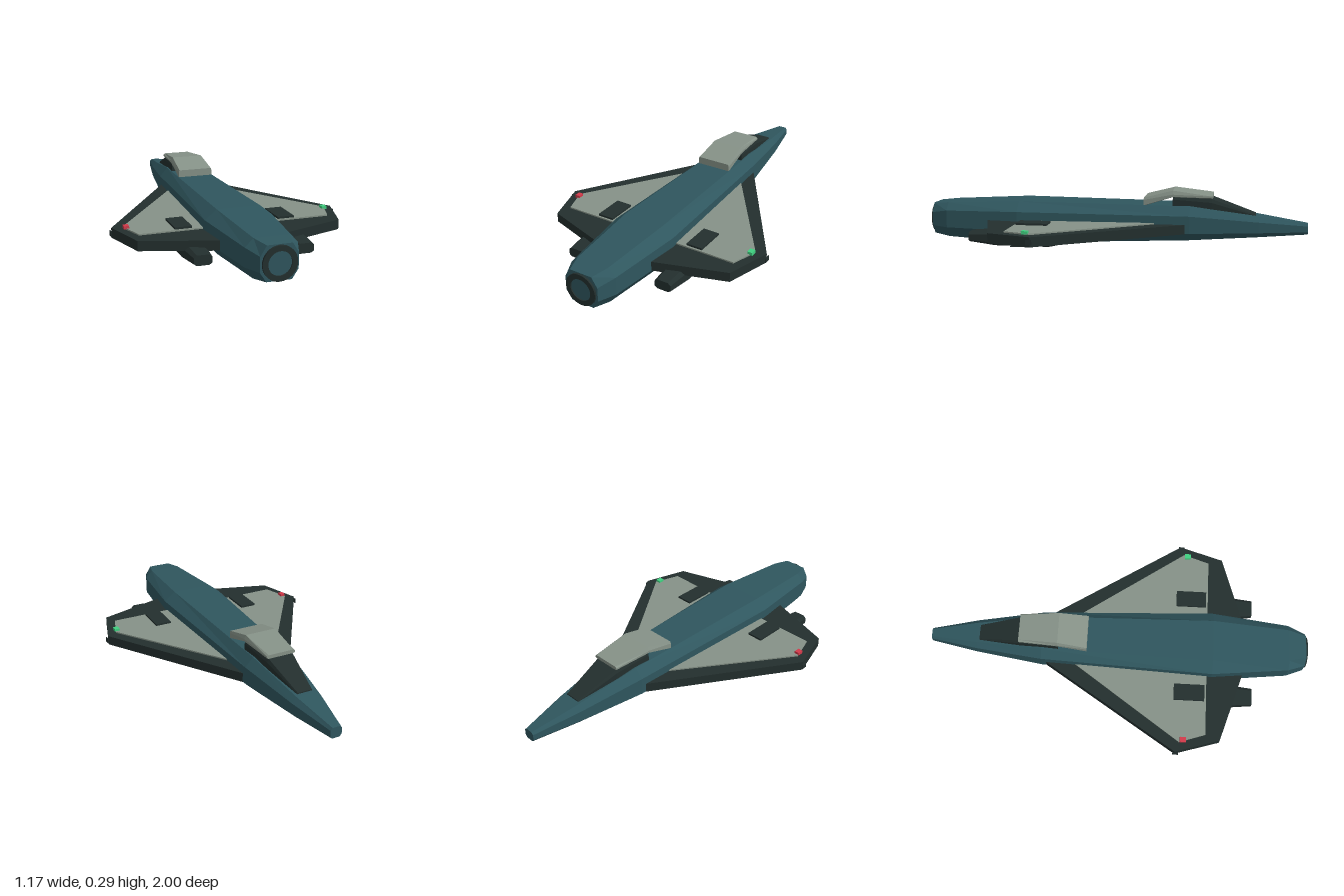
import * as THREE from 'three';

const mat = (name, color) => Object.assign(new THREE.MeshStandardMaterial({ color }), { name });

// Eight-sided section: half-widths at the sides and at top/bottom, then heights from bottom to top
function octagon(z, w, wt, y0, y1, y2, y3, cx = 0) {
  return [[w, y1], [w, y2], [wt, y3], [-wt, y3], [-w, y2], [-w, y1], [-wt, y0], [wt, y0]]
    .map(([x, y]) => new THREE.Vector3(cx + x, y, z));
}

// Faceted, capped hull through sections ordered from nose (-z) to tail (+z)
function loft(sections) {
  const tris = [];
  const n = sections[0].length;
  for (let s = 0; s < sections.length - 1; s++) {
    const a = sections[s], b = sections[s + 1];
    for (let i = 0; i < n; i++) {
      const j = (i + 1) % n;
      tris.push(a[i], a[j], b[j], a[i], b[j], b[i]);
    }
  }
  const first = sections[0], last = sections[sections.length - 1];
  for (let i = 1; i < n - 1; i++) {
    tris.push(first[0], first[i + 1], first[i], last[0], last[i], last[i + 1]);
  }
  const g = new THREE.BufferGeometry().setFromPoints(tris);
  g.computeVertexNormals();
  return g;
}

// Flat slab from an x/z outline
function slab(outline, side, y0, y1) {
  const shape = new THREE.Shape(outline.map(([x, z]) => new THREE.Vector2(side * x, -z)));
  return new THREE.ExtrudeGeometry(shape, { depth: y1 - y0, bevelEnabled: false })
    .rotateX(-Math.PI / 2).translate(0, y0, 0);
}

export function createModel() {
  const teal = mat('hull teal', 0x2f565e);
  const dark = mat('dark trim', 0x232f2e);
  const pale = mat('pale grey', 0x869288);
  const red = mat('red light', 0xd23a4a);
  const green = mat('green light', 0x40d080);

  const model = new THREE.Group();
  model.name = 'spacecraft';
  const add = (name, geometry, material, parent = model) => {
    const m = new THREE.Mesh(geometry, material);
    m.name = name;
    parent.add(m);
    return m;
  };
  const box = (w, h, d, x, y, z) => new THREE.BoxGeometry(w, h, d).translate(x, y, z);

  // Fuselage
  add('fuselage', loft([
    octagon(-1, 0.03, 0.02, 0.075, 0.088, 0.118, 0.13),
    octagon(-0.75, 0.08, 0.055, 0.06, 0.085, 0.14, 0.167),
    octagon(-0.4, 0.132, 0.09, 0.04, 0.08, 0.17, 0.217),
    octagon(0.5, 0.17, 0.11, 0.004, 0.075, 0.177, 0.225),
    octagon(0.9, 0.125, 0.085, 0.022, 0.077, 0.168, 0.207),
    octagon(0.99, 0.09, 0.06, 0.034, 0.08, 0.152, 0.2),
  ]), teal);

  // Tail nozzle: dark ring around a teal disc
  const ring = new THREE.Shape().absarc(0, 0, 0.082, 0, Math.PI * 2);
  ring.holes.push(new THREE.Path().absarc(0, 0, 0.056, 0, Math.PI * 2, true));
  add('nozzleRing', new THREE.ExtrudeGeometry(ring, { depth: 0.02, bevelEnabled: false, curveSegments: 16 })
    .translate(0, 0.115, 0.98), dark);
  add('nozzleCore', new THREE.CylinderGeometry(0.057, 0.057, 0.015, 16)
    .rotateX(Math.PI / 2).translate(0, 0.115, 0.986), teal);

  // Cockpit fairing and raised canopy
  add('cockpitFairing', loft([
    octagon(-0.735, 0.042, 0.038, 0.13, 0.14, 0.168, 0.175),
    octagon(-0.51, 0.074, 0.066, 0.16, 0.17, 0.235, 0.254),
    octagon(-0.31, 0.088, 0.082, 0.18, 0.19, 0.25, 0.264),
  ]), dark);
  add('canopy', loft([
    octagon(-0.515, 0.077, 0.068, 0.256, 0.26, 0.268, 0.275),
    octagon(-0.31, 0.091, 0.083, 0.262, 0.264, 0.276, 0.296),
    octagon(-0.16, 0.094, 0.09, 0.215, 0.218, 0.246, 0.257),
  ]), pale);

  // Wings, each with its panel, vent, light and engine pod
  for (const side of [1, -1]) {
    const wing = new THREE.Group();
    wing.name = side > 0 ? 'leftWing' : 'rightWing';
    model.add(wing);

    add('wingSlab', slab([[0.1, -0.427], [0.58, 0.32], [0.51, 0.55], [0.1, 0.68]], side, 0.078, 0.127), dark, wing);
    add('wingPanel', slab([[0.1, -0.277], [0.53, 0.34], [0.485, 0.475], [0.1, 0.475]], side, 0.126, 0.134), pale, wing);
    add('wingVent', box(0.086, 0.016, 0.16, side * 0.264, 0.136, 0.385), dark, wing);
    add('tipPlate', box(0.004, 0.026, 0.03, side * 0.585, 0.102, 0.325), dark, wing);
    add('tipLight', box(0.026, 0.016, 0.032, side * 0.518, 0.138, 0.36), side > 0 ? green : red, wing);

    // Engine pod slung under the wing
    const x = side * 0.252;
    add('enginePod', loft([
      octagon(0.2, 0.036, 0.024, 0.042, 0.052, 0.078, 0.088, x),
      octagon(0.3, 0.057, 0.036, 0.022, 0.038, 0.082, 0.1, x),
      octagon(0.58, 0.057, 0.036, 0.022, 0.038, 0.082, 0.1, x),
      octagon(0.72, 0.044, 0.03, 0.038, 0.048, 0.076, 0.088, x),
    ]), dark, wing);
    add('podSkid', box(0.03, 0.004, 0.12, side * 0.248, 0.013, 0.45), dark, wing);
  }
  return model;
}
